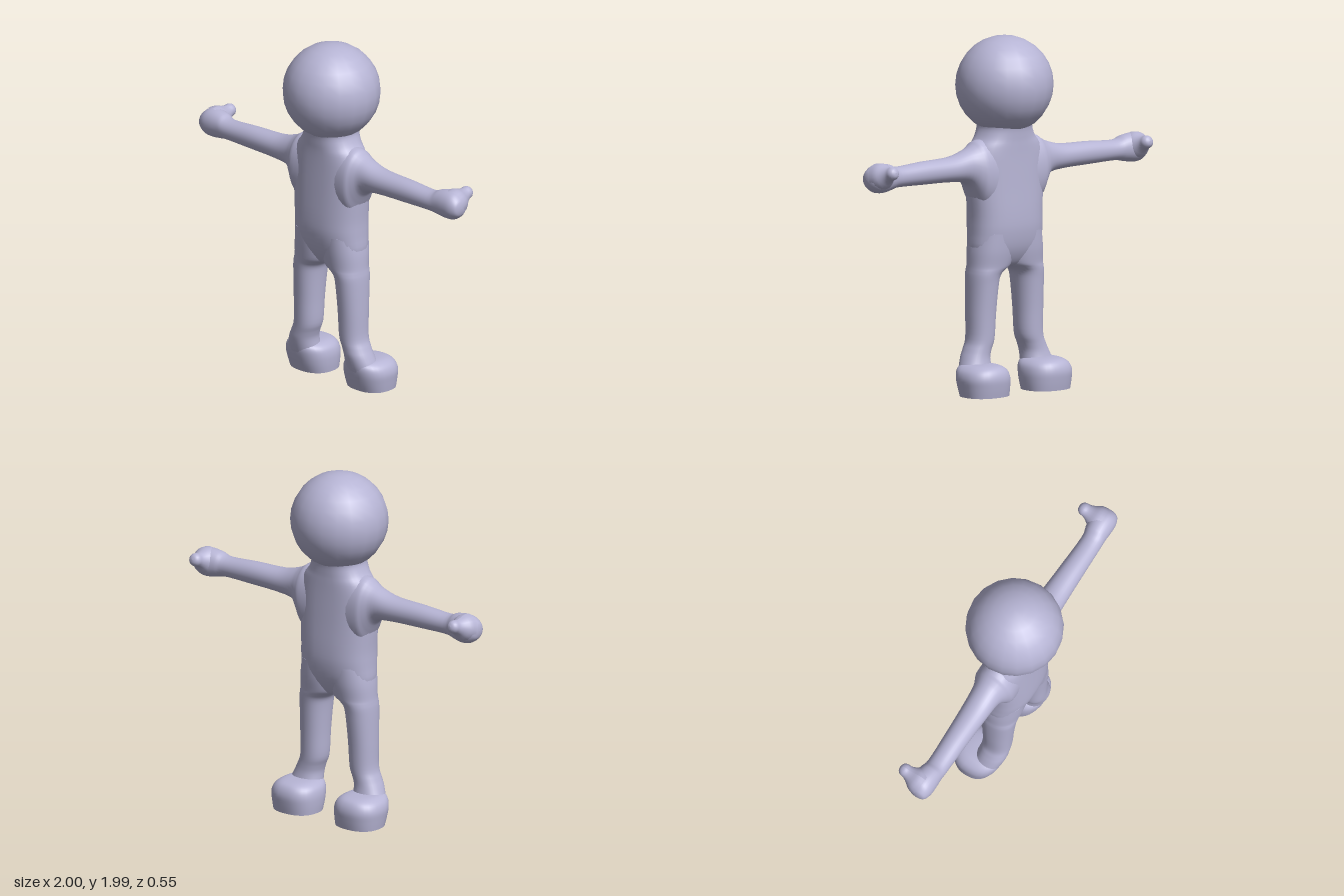
import * as THREE from 'three';

const lavender = new THREE.MeshStandardMaterial({ color: 0xb6b4d4 });
lavender.name = 'lavender';

// Catmull-Rom blend of one number
const spline = (a, b, c, d, t) =>
  b + 0.5 * t * (c - a + t * (2 * a - 5 * b + 4 * c - d + t * (3 * (b - c) + d - a)));

// Insert smooth in-between rows
function refine(rows, steps) {
  const out = [];
  const at = (i) => rows[Math.max(0, Math.min(rows.length - 1, i))];
  for (let i = 0; i < rows.length - 1; i++) {
    for (let s = 0; s < steps; s++) {
      out.push(rows[i].map((v, k) => spline(at(i - 1)[k], v, at(i + 1)[k], at(i + 2)[k], s / steps)));
    }
  }
  out.push(rows[rows.length - 1]);
  return out;
}

// Closed skin through rounded sections; row = [position, minA, maxA, minB, maxB]
function loft(rows, place, power = 2, steps = 4, sides = 32) {
  const rings = refine(rows, steps);
  const pos = [], index = [];
  const round = (v) => Math.sign(v) * Math.pow(Math.abs(v), 2 / power);
  const ring = ([t, a0, a1, b0, b1]) => {
    for (let j = 0; j < sides; j++) {
      const q = (j / sides) * Math.PI * 2;
      pos.push(...place(t,
        (a0 + a1) / 2 + (a1 - a0) / 2 * round(Math.cos(q)),
        (b0 + b1) / 2 + (b1 - b0) / 2 * round(Math.sin(q))));
    }
  };
  rings.forEach(ring);
  for (let i = 0; i < rings.length - 1; i++) {
    for (let j = 0; j < sides; j++) {
      const p = i * sides + j, n = i * sides + (j + 1) % sides;
      index.push(p, p + sides, n, n, p + sides, n + sides);
    }
  }
  // flat end caps with their own vertices
  [rings[0], rings[rings.length - 1]].forEach((r, end) => {
    const base = pos.length / 3;
    ring(r);
    pos.push(...place(r[0], (r[1] + r[2]) / 2, (r[3] + r[4]) / 2));
    for (let j = 0; j < sides; j++) {
      const p = base + j, n = base + (j + 1) % sides;
      index.push(base + sides, ...(end ? [n, p] : [p, n]));
    }
  });
  const g = new THREE.BufferGeometry();
  g.setAttribute('position', new THREE.Float32BufferAttribute(pos, 3));
  g.setIndex(index);
  g.computeVertexNormals();
  return g;
}

const upright = (t, a, b) => [a, t, b]; // rows climb y: x range, z range
const sideways = (t, a, b) => [t, b, a]; // rows run along x: z range, y range

// Mirror a geometry across x with correct facing
function mirrored(g) {
  const m = g.clone().scale(-1, 1, 1);
  const ix = m.index.array;
  for (let i = 0; i < ix.length; i += 3) [ix[i], ix[i + 1]] = [ix[i + 1], ix[i]];
  m.computeVertexNormals();
  return m;
}

export function createModel() {
  const model = new THREE.Group();
  model.name = 'figure';
  const add = (name, g) => {
    const mesh = new THREE.Mesh(g, lavender);
    mesh.name = name;
    model.add(mesh);
  };
  const addPair = (name, g) => {
    add('left' + name, g);
    add('right' + name, mirrored(g));
  };

  // Head
  add('head', new THREE.SphereGeometry(0.274, 20, 14).translate(0, 1.716, 0));

  // Torso and neck
  add('torso', loft([
    [0.70, -0.08, 0.08, -0.04, 0.04],
    [0.72, -0.17, 0.17, -0.085, 0.08],
    [0.80, -0.228, 0.228, -0.128, 0.122],
    [0.90, -0.23, 0.23, -0.148, 0.145],
    [1.00, -0.23, 0.23, -0.15, 0.148],
    [1.15, -0.24, 0.24, -0.142, 0.142],
    [1.30, -0.24, 0.24, -0.135, 0.135],
    [1.38, -0.215, 0.215, -0.133, 0.133],
    [1.43, -0.175, 0.175, -0.133, 0.135],
    [1.49, -0.152, 0.152, -0.138, 0.14],
    [1.54, -0.17, 0.17, -0.16, 0.16],
    [1.58, -0.19, 0.19, -0.19, 0.19],
  ], upright, 2.4));

  // Arms flaring into the shoulders and ending in fists
  addPair('Arm', loft([
    [0.10, -0.12, 0.12, 1.00, 1.43],
    [0.20, -0.122, 0.122, 1.04, 1.42],
    [0.24, -0.108, 0.104, 1.11, 1.397],
    [0.29, -0.088, 0.083, 1.185, 1.373],
    [0.40, -0.078, 0.074, 1.205, 1.345],
    [0.60, -0.068, 0.066, 1.21, 1.338],
    [0.78, -0.063, 0.06, 1.213, 1.328],
    [0.84, -0.075, 0.058, 1.204, 1.348],
    [0.90, -0.09, 0.06, 1.195, 1.358],
    [0.95, -0.085, 0.057, 1.2, 1.352],
    [0.985, -0.06, 0.042, 1.225, 1.325],
    [0.997, -0.03, 0.02, 1.25, 1.3],
    [1.00, -0.006, -0.004, 1.274, 1.276],
  ], sideways, 2.1));

  // Thumbs, tilted back and up
  const thumb = new THREE.LatheGeometry(new THREE.SplineCurve([
    [0.08, 0], [0.072, 0.04], [0.05, 0.075], [0.039, 0.1], [0.036, 0.125], [0.022, 0.144], [0, 0.15],
  ].map(([x, y]) => new THREE.Vector2(x, y))).getPoints(18), 20);
  thumb.applyQuaternion(new THREE.Quaternion().setFromUnitVectors(
    new THREE.Vector3(0, 1, 0), new THREE.Vector3(-0.03, 0.3, -1).normalize()));
  thumb.translate(0.92, 1.283, -0.02);
  addPair('Thumb', thumb);

  // Legs flaring inward at the crotch and sinking into the feet
  addPair('Leg', loft([
    [0.05, 0.13, 0.32, -0.10, 0.035],
    [0.12, 0.125, 0.325, -0.10, 0.062],
    [0.20, 0.13, 0.295, -0.082, 0.08],
    [0.25, 0.118, 0.272, -0.078, 0.083],
    [0.31, 0.098, 0.252, -0.08, 0.085],
    [0.45, 0.09, 0.25, -0.086, 0.09],
    [0.60, 0.078, 0.248, -0.098, 0.1],
    [0.66, 0.066, 0.246, -0.105, 0.105],
    [0.69, 0.035, 0.243, -0.11, 0.108],
    [0.72, -0.01, 0.24, -0.115, 0.112],
    [0.80, -0.03, 0.235, -0.128, 0.122],
    [0.90, -0.03, 0.22, -0.135, 0.132],
  ], upright, 2.2));

  // Feet with flat soles
  addPair('Foot', loft([
    [0.00, 0.083, 0.357, -0.212, 0.028],
    [0.05, 0.078, 0.364, -0.22, 0.045],
    [0.10, 0.078, 0.368, -0.224, 0.058],
    [0.14, 0.09, 0.355, -0.212, 0.064],
    [0.165, 0.12, 0.325, -0.185, 0.06],
    [0.175, 0.16, 0.29, -0.13, 0.03],
    [0.177, 0.22, 0.23, -0.055, -0.045],
  ], upright, 2.4));

  return model;
}
